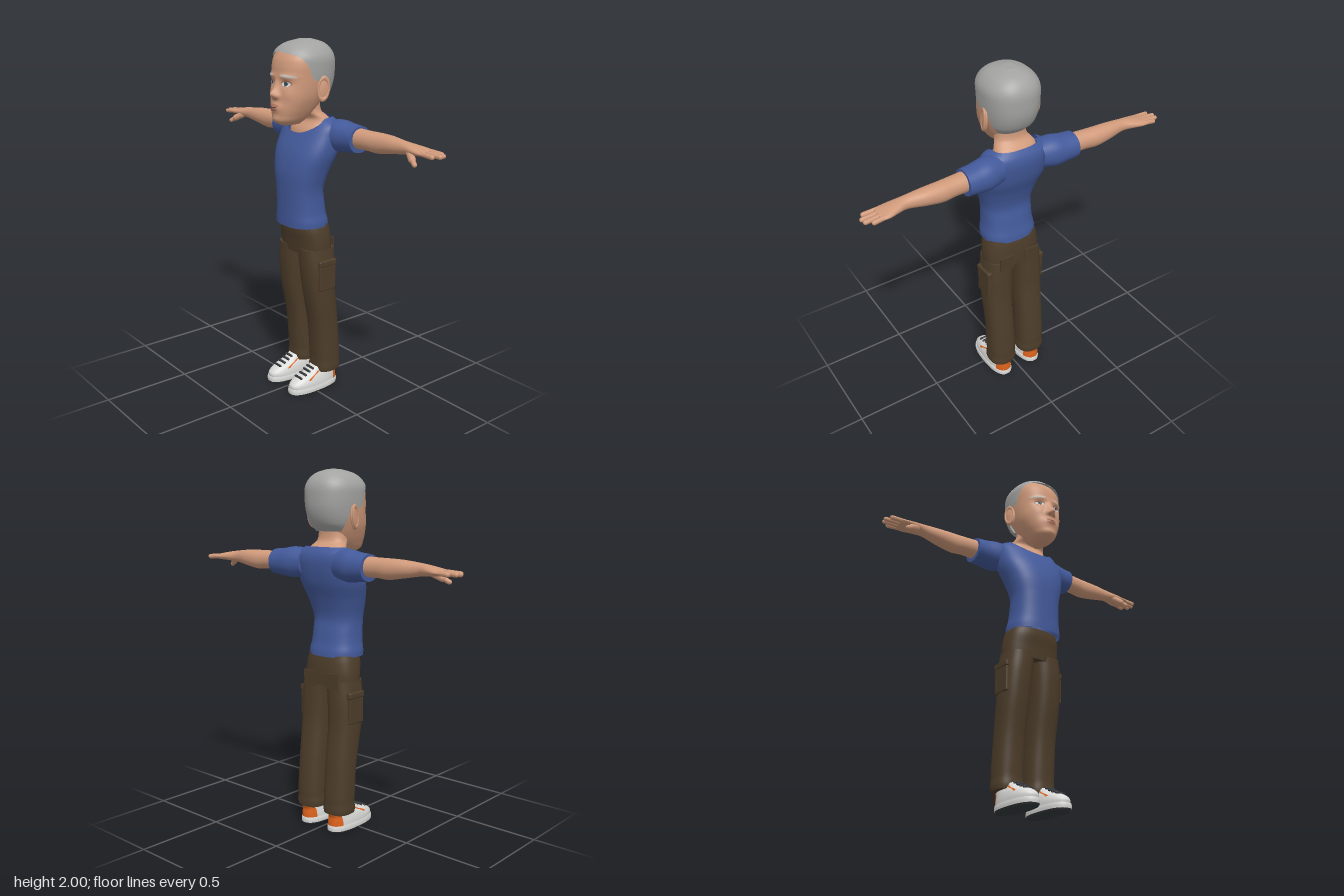
import * as THREE from 'three';
import { RoundedBoxGeometry } from 'three/addons/geometries/RoundedBoxGeometry.js';

const material = (name, color, side = THREE.FrontSide) => {
  const m = new THREE.MeshStandardMaterial({ color, side });
  m.name = name;
  return m;
};

// Smooth interpolation of a table whose first column is the position
function sample(rows, t) {
  let i = 0;
  while (i < rows.length - 2 && t > rows[i + 1][0]) i++;
  const a = rows[i], b = rows[i + 1], p = rows[Math.max(i - 1, 0)], q = rows[Math.min(i + 2, rows.length - 1)];
  const h = b[0] - a[0], u = Math.min(1, Math.max(0, (t - a[0]) / h)), u2 = u * u, u3 = u2 * u;
  return a.map((v, k) => {
    const m0 = (b[k] - p[k]) / (b[0] - p[0]) * h, m1 = (q[k] - a[k]) / (q[0] - a[0]) * h;
    return (2 * u3 - 3 * u2 + 1) * v + (u3 - 2 * u2 + u) * m0 + (3 * u2 - 2 * u3) * b[k] + (u3 - u2) * m1;
  });
}

// Stack of rounded sections [y, centreX, centreZ, radiusX, radiusZ]; angle 0 faces +z
function loft(rows, { steps = 24, segs = 36, n = 2.3, from = rows[0][0], to = rows.at(-1)[0],
  grow = 0, span, top, warp, caps = true } = {}) {
  const pos = [], index = [];
  const S = v => Math.sign(v) * Math.abs(v) ** (2 / n);
  const cols = span ? segs + 1 : segs;
  const strip = rings => {
    const base = pos.length / 3;
    for (const [t, k] of rings) {
      const [a0, a1] = span ? span(t) : [0, Math.PI * 2];
      for (let j = 0; j < cols; j++) {
        const a = a0 + (a1 - a0) * j / segs;
        const y = top ? from + (t - from) * (top(a) - from) / (to - from) : t;
        const [, cx, cz, rx, rz] = sample(rows, y);
        const x = cx + k * (rx + grow) * S(Math.sin(a));
        const z = cz + k * (rz + grow) * S(Math.cos(a));
        pos.push(x, y, z + (warp && Math.cos(a) > 0 ? k * warp(x, y) : 0));
      }
    }
    for (let i = 0; i < rings.length - 1; i++) for (let j = 0; j < segs; j++) {
      const a = base + i * cols + j, b = base + i * cols + (j + 1) % cols;
      index.push(a, b, b + cols, a, b + cols, a + cols);
    }
  };
  strip(Array.from({ length: steps + 1 }, (_, i) => [from + (to - from) * i / steps, 1]));
  if (caps) { strip([[from, 0], [from, 1]]); strip([[to, 1], [to, 0]]); }
  const g = new THREE.BufferGeometry();
  g.setAttribute('position', new THREE.Float32BufferAttribute(pos, 3));
  g.setIndex(index);
  g.computeVertexNormals();
  return g;
}

// The same along +x, with rows [x, centreY, centreZ, radiusY, radiusZ]
const loftX = (rows, o) => loft(rows.map(([x, y, z, ry, rz]) => [x, -y, z, ry, rz]), o).rotateZ(-Math.PI / 2);

function rod(a, b, r) {
  const p = new THREE.Vector3(...a), d = new THREE.Vector3(...b).sub(p);
  const q = new THREE.Quaternion().setFromUnitVectors(new THREE.Vector3(0, 1, 0), d.clone().normalize());
  return new THREE.CapsuleGeometry(r, d.length(), 5, 10).applyQuaternion(q).translate(...p.addScaledVector(d, 0.5).toArray());
}

function mirrored(g) {
  const m = g.clone().scale(-1, 1, 1), ix = m.index.array;
  for (let i = 0; i < ix.length; i += 3) [ix[i + 1], ix[i + 2]] = [ix[i + 2], ix[i + 1]];
  return m;
}

// Head sections and the relief of the face
const HEAD = [[1.555, 0, .07, .035, .06], [1.575, 0, .075, .062, .088], [1.61, 0, .055, .085, .115],
  [1.65, 0, .04, .105, .13], [1.70, 0, .025, .124, .138], [1.76, 0, .005, .135, .152], [1.82, 0, -.005, .14, .158],
  [1.87, 0, -.01, .143, .158], [1.91, 0, -.015, .137, .15], [1.95, 0, -.02, .11, .122], [1.985, 0, -.025, .05, .05]];
const bell = (x, y, sx, sy) => Math.exp(-((x / sx) ** 2) - (y / sy) ** 2);
const relief = (x, y) => {
  const ax = Math.abs(x);
  return .036 * bell(x, y - 1.722, .022, .024) + .018 * bell(x, y - 1.76, .016, .035)
    + .01 * bell(ax - .024, y - 1.712, .012, .014) + .014 * bell(x, y - 1.653, .04, .024)
    + .006 * bell(x, y - 1.59, .03, .02) + .007 * bell(ax - .06, y - 1.815, .045, .014)
    - .011 * bell(ax - .06, y - 1.778, .03, .018) + .005 * bell(ax - .075, y - 1.72, .03, .03);
};
const faceZ = (x, y) => {
  const [, , cz, rx, rz] = sample(HEAD, y);
  return cz + rz * Math.max(0, 1 - Math.abs(x / rx) ** 2.3) ** (1 / 2.3) + relief(x, y);
};
// Thin oval laid on the face
function facePatch(cx, cy, rx, ry, lift, tilt = 0) {
  const g = new THREE.RingGeometry(0, 1, 28, 5).scale(rx, ry, 1).rotateZ(tilt).translate(cx, cy, 0), p = g.attributes.position;
  for (let i = 0; i < p.count; i++) p.setZ(i, faceZ(p.getX(i), p.getY(i)) + lift);
  g.computeVertexNormals();
  return g;
}

export function createModel() {
  const model = new THREE.Group();
  model.name = 'standingMan';
  const skin = material('skin', 0xd09a7b), hair = material('greyHair', 0xa3a4a2, THREE.DoubleSide);
  const shirt = material('blueShirt', 0x435a9b, THREE.DoubleSide), pants = material('brownTrousers', 0x4d3d2a);
  const white = material('shoeWhite', 0xd9d9d7), orange = material('orangeTrim', 0xdc621c, THREE.DoubleSide);
  const dark = material('darkGrey', 0x34383b), lip = material('lips', 0xb4775f);
  const brow = material('paleBrow', 0xc4bbb0), iris = material('iris', 0x41535e);

  const add = (name, g, mat) => {
    const m = new THREE.Mesh(g, mat);
    m.name = name;
    model.add(m);
  };
  const pair = (name, g, mat) => {
    add(name + 'Left', g, mat);
    add(name + 'Right', mirrored(g), mat);
  };

  // Head, neck and hair
  add('head', loft(HEAD, { steps: 80, segs: 120, warp: relief }), skin);
  add('neck', loft([[1.45, 0, -.06, .13, .085], [1.52, 0, -.07, .125, .085], [1.58, 0, -.082, .117, .064],
    [1.62, 0, -.045, .09, .062], [1.70, 0, -.03, .085, .07]]), skin);
  const hairline = [[1.66, 2.3], [1.72, 2.0], [1.78, 1.75], [1.80, 1.4], [1.86, 1.2], [1.90, 1.0], [1.925, .65], [1.94, 0], [2, 0]];
  add('hair', loft([[1.67, 0, .01, .115, .125], [1.71, 0, .005, .135, .16], [1.78, 0, -.01, .147, .172],
    [1.86, 0, -.018, .152, .17], [1.91, 0, -.018, .148, .165], [1.95, 0, -.02, .125, .142],
    [1.98, 0, -.025, .085, .10], [1.998, 0, -.03, .03, .035]],
  { steps: 50, segs: 64, span: t => { const a = Math.max(0, sample(hairline, t)[1]); return [a, 2 * Math.PI - a]; } }), hair);

  // Ears
  const placeEar = g => g.rotateY(-.3).rotateX(-.12).translate(.146, 1.745, -.035);
  pair('ear', placeEar(new THREE.SphereGeometry(1, 20, 14).scale(.014, .066, .036)), skin);
  pair('earRim', placeEar(new THREE.TorusGeometry(.03, .007, 8, 24).rotateY(Math.PI / 2).scale(1, 1.85, 1).translate(.008, .004, 0)), skin);

  // Eyes, brows and mouth; the right eye is narrowed
  for (const [side, s, open] of [['Left', 1, .013], ['Right', -1, .009]]) {
    add('eyeLid' + side, facePatch(s * .06, 1.779, .03, open + .004, .002), lip);
    add('eyeWhite' + side, facePatch(s * .06, 1.777, .025, open, .004), white);
    add('iris' + side, facePatch(s * .058, 1.777, .011, open * .9, .0055), iris);
    add('pupil' + side, facePatch(s * .058, 1.777, .005, .005, .0068), dark);
    add('brow' + side, facePatch(s * .07, 1.818, .042, .008, .004, -s * .12), brow);
    add('nostril' + side, facePatch(s * .014, 1.698, .007, .004, .002), lip);
  }
  add('upperLip', facePatch(-.003, 1.663, .037, .009, .003), lip);
  add('lowerLip', facePatch(-.003, 1.645, .031, .010, .003), lip);
  add('mouthLine', facePatch(-.003, 1.655, .032, .002, .005), dark);

  // Shirt with a scooped neckline
  add('shirtBody', loft([[.99, 0, -.012, .155, .122], [1.02, 0, -.01, .155, .121], [1.06, 0, -.005, .147, .116],
    [1.12, 0, 0, .143, .112], [1.2, 0, .006, .145, .108], [1.3, 0, -.008, .17, .12], [1.4, 0, -.04, .198, .128],
    [1.5, 0, -.075, .2, .113], [1.555, 0, -.09, .19, .092], [1.59, 0, -.09, .13, .068]],
  { steps: 48, segs: 64, n: 2.4, caps: false, top: a => 1.59 - .085 * Math.exp(-((Math.min(a, 2 * Math.PI - a) / .75) ** 2)) }), shirt);
  pair('sleeve', loftX([[.12, 1.5, -.115, .075, .075], [.2, 1.497, -.125, .086, .083], [.27, 1.495, -.13, .077, .078],
    [.335, 1.495, -.132, .071, .075]], { n: 2.1 }), shirt);

  // Arms and hands
  pair('arm', loftX([[.3, 1.5, -.13, .055, .055], [.4, 1.5, -.135, .052, .052], [.47, 1.498, -.14, .054, .052],
    [.56, 1.503, -.14, .046, .047], [.66, 1.506, -.135, .033, .036], [.72, 1.505, -.14, .026, .047],
    [.77, 1.502, -.145, .02, .056], [.815, 1.5, -.146, .013, .054]], { steps: 40, n: 2.1 }), skin);
  [[-.186, .85, -.19], [-.16, .883, -.166], [-.133, .889, -.138], [-.106, .868, -.104]].forEach(([z, x, zTip], i) =>
    pair('finger' + (i + 1), rod([.79, 1.502, z], [x, 1.497, zTip], .0125), skin));
  pair('thumb', rod([.715, 1.49, -.112], [.755, 1.468, -.088], .019), skin);
  pair('thumbTip', rod([.755, 1.468, -.088], [.785, 1.45, -.075], .013), skin);

  // Trousers with cuffs and cargo pockets
  add('trouserSeat', loft([[.83, 0, -.044, .168, .096], [.9, 0, -.04, .168, .101], [.96, 0, -.033, .16, .104],
    [1.0, 0, -.03, .15, .1]], { n: 2.5 }), pants);
  pair('trouserLeg', loft([[.11, .1, -.1, .08, .08], [.13, .1, -.1, .084, .083], [.17, .1, -.1, .08, .08], [.2, .1, -.1, .081, .081],
    [.4, .1, -.084, .08, .082], [.6, .1, -.055, .083, .09], [.75, .095, -.045, .086, .098], [.86, .084, -.042, .084, .098]],
  { steps: 44, n: 2.5 }), pants);
  pair('cargoPocket', new RoundedBoxGeometry(.026, .15, .115, 2, .008).rotateZ(.02).translate(.173, .70, -.05).toNonIndexedSafe?.()
    ?? pocket(.026, .15, .115, .173, .70), pants);
  pair('pocketFlap', pocket(.032, .035, .122, .173, .785), pants);
  pair('backPocket', new THREE.BoxGeometry(.09, .09, .008).rotateX(-.02).translate(.08, .86, -.139), pants);

  // Shoes
  const upper = [[.03, .1, -.01, .063, .158], [.06, .1, -.01, .062, .157], [.09, .1, -.03, .056, .135],
    [.11, .1, -.062, .049, .11], [.14, .1, -.085, .045, .082]];
  pair('outsole', loft([[0, .1, -.01, .062, .158], [.009, .1, -.01, .066, .164]], { steps: 2, n: 2.5 }), dark);
  pair('midsole', loft([[.009, .1, -.01, .067, .165], [.025, .1, -.01, .068, .166], [.038, .1, -.01, .066, .163]], { steps: 6, n: 2.5 }), white);
  pair('shoeUpper', loft(upper, { n: 2.4 }), white);
  pair('heelPanel', loft(upper, { n: 2.4, grow: .004, from: .04, to: .13, caps: false, span: () => [Math.PI - .85, Math.PI + .85] }), orange);
  for (const a of [1.05, 2 * Math.PI - 1.2])
    pair('sideStripe', loft(upper, { n: 2.4, grow: .003, segs: 6, from: .08, to: .12, caps: false, span: () => [a, a + .14] }), orange);
  [[.095, .097], [.107, .064], [.121, .036], [.135, .012]].forEach(([y, z], i) =>
    pair('lace' + (i + 1), rod([.075, y, z - .004], [.125, y, z - .004], .007), dark));
  return model;
}

// Soft-edged pocket block on the outer thigh
function pocket(w, h, d, x, y) {
  const g = new RoundedBoxGeometry(w, h, d, 2, .008).translate(x, y, -.05);
  if (!g.index) g.setIndex([...Array(g.attributes.position.count).keys()]);
  return g;
}
